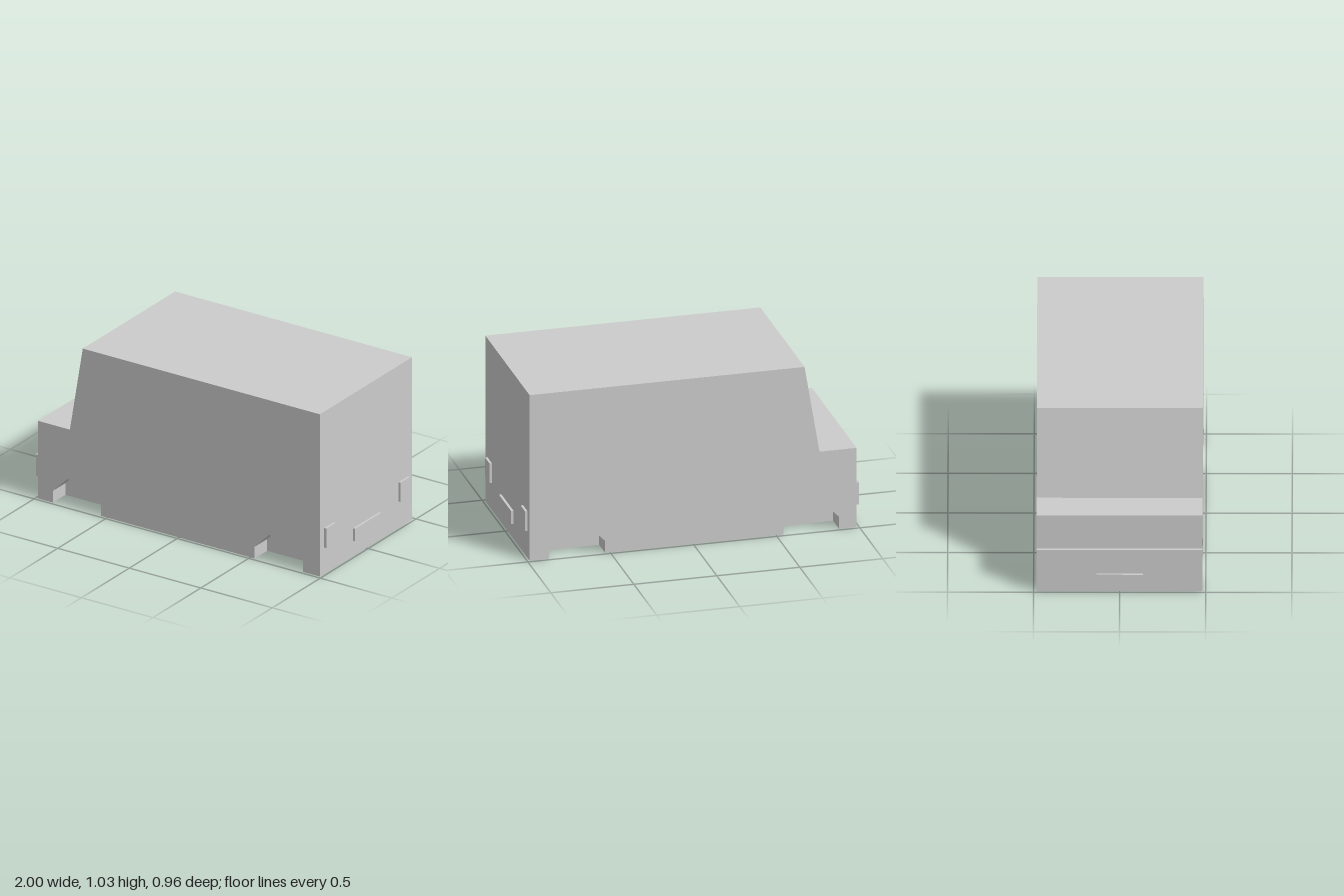
import * as THREE from 'three';
import { mergeGeometries } from 'three/addons/utils/BufferGeometryUtils.js';

const HALF = 0.482;   // half width of the body
const INNER = 0.352;  // inner wall of the wheel arches
const END = 0.985;    // front and rear panels

// Surface swept across z along an outline; faces the right-hand side of the path
function strip(points, z0, z1) {
  const pos = [];
  for (let i = 0; i < points.length - 1; i++) {
    const [ax, ay] = points[i], [bx, by] = points[i + 1];
    pos.push(ax, ay, z0, bx, by, z0, bx, by, z1);
    pos.push(ax, ay, z0, bx, by, z1, ax, ay, z1);
  }
  const g = new THREE.BufferGeometry();
  g.setAttribute('position', new THREE.Float32BufferAttribute(pos, 3));
  g.computeVertexNormals();
  return g;
}

// Flat panel at depth z, facing the +z or -z side
function panel(points, z, side) {
  const shape = new THREE.Shape(points.map(([x, y]) => new THREE.Vector2(x, y)));
  const indexed = new THREE.ShapeGeometry(shape);
  if (side < 0) indexed.setIndex([...indexed.index.array].reverse());
  const g = indexed.toNonIndexed();
  g.deleteAttribute('uv');
  g.translate(0, 0, z);
  g.computeVertexNormals();
  return g;
}

// Chamfered wheel arch from x0 to x1
function arch(x0, x1) {
  return [[x0, 0], [x0, 0.075], [x0 + 0.1, 0.175], [x1 - 0.1, 0.175], [x1, 0.075], [x1, 0]];
}

export function createModel() {
  const model = new THREE.Group();
  const material = new THREE.MeshStandardMaterial({ color: 0xcccccc, flatShading: true });
  const add = (name, geometry) => {
    const mesh = new THREE.Mesh(geometry, material);
    mesh.name = name;
    model.add(mesh);
    return mesh;
  };

  // Van body: hood, sloped windscreen, box, and four wheel arches cut into the sides
  const arches = [arch(-0.88, -0.545), arch(0.53, 0.867)];
  const lower = [[-END, 0], ...arches.flat(), [END, 0]];
  const upper = [[END, 0], [END, 1.035], [-0.672, 1.035], [-0.762, 0.495], [-END, 0.495], [-END, 0]];
  const parts = [
    strip(upper, -HALF, HALF),
    strip([[-END, 0], [END, 0]], -INNER, INNER),
  ];
  for (const side of [-1, 1]) {
    parts.push(panel([...lower, ...upper.slice(1, -1)], side * HALF, side));
    parts.push(strip(lower, Math.min(side * INNER, side * HALF), Math.max(side * INNER, side * HALF)));
    for (const a of arches) parts.push(panel(a, side * INNER, side));
  }
  add('body', mergeGeometries(parts));

  // Thin plates on the end panels
  const plate = (name, end, y0, y1, z, width) =>
    add(name, new THREE.BoxGeometry(0.02, y1 - y0, width)).position.set(end * 0.99, (y0 + y1) / 2, z);
  plate('grilleBar', -1, 0.14, 0.278, 0, HALF * 2);
  plate('frontPlate', -1, 0.03, 0.115, 0, 0.27);
  plate('rearPlate', 1, 0.096, 0.177, 0, 0.27);
  for (const side of [-1, 1]) plate('tailLight', 1, 0.168, 0.292, side * 0.388, 0.097);

  return model;
}
